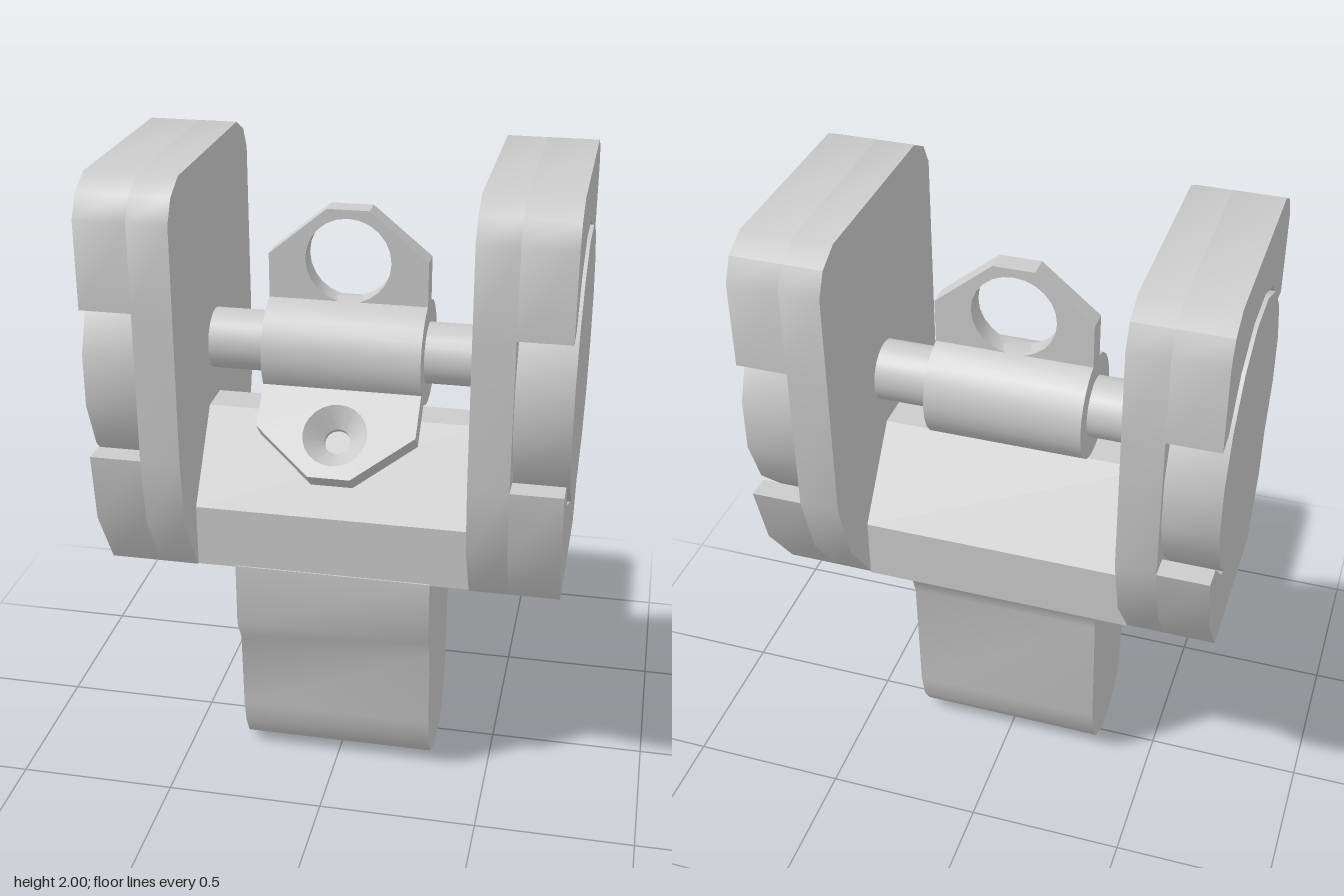
import * as THREE from 'three';
import { toCreasedNormals } from 'three/addons/utils/BufferGeometryUtils.js';

const grey = new THREE.MeshStandardMaterial({ color: 0xcccccc });
const greyDouble = new THREE.MeshStandardMaterial({ color: 0xcccccc, side: THREE.DoubleSide });
const AXIS_Y = 1.39; // height of the pivot

function mesh(name, geometry, material = grey) {
  const m = new THREE.Mesh(toCreasedNormals(geometry, 0.6), material);
  m.name = name;
  return m;
}

// Side profile of [z, y] points, extruded along x from x0 to x1
function prism(name, points, x0, x1) {
  const shape = new THREE.Shape(points.map(p => new THREE.Vector2(...p)));
  const g = new THREE.ExtrudeGeometry(shape, { depth: x1 - x0, bevelEnabled: false });
  g.rotateY(-Math.PI / 2).translate(x1, 0, 0);
  return mesh(name, g);
}

// Points of a 16-sided circle around the pivot, from corner a to corner b
function arc(r, a, b) {
  const pts = [], step = Math.sign(b - a);
  for (let i = a; i !== b + step; i += step) {
    const t = (i + 0.5) * Math.PI / 8;
    pts.push([r * Math.cos(t), AXIS_Y + r * Math.sin(t)]);
  }
  return pts;
}

// Eared sight leaf standing on the pivot, with one round hole
function leaf(name, holeY, holeR) {
  const s = new THREE.Shape([[-0.247, 0], [0.247, 0], [0.247, 0.3], [0.065, 0.45], [-0.065, 0.45], [-0.247, 0.3]]
    .map(p => new THREE.Vector2(...p)));
  s.holes.push(new THREE.Path().absarc(0, holeY, holeR, 0, Math.PI * 2, true));
  const g = new THREE.ExtrudeGeometry(s, { depth: 0.07, bevelEnabled: false, curveSegments: 12 });
  return mesh(name, g.translate(0, 0, -0.035));
}

export function createModel() {
  const model = new THREE.Group();
  model.name = 'foldingSight';

  // Protective side wings: a full inner slab, with the outer layer cut by a round, slotted pocket
  const top = [[0.44, 1.62], [0.44, 1.89], [0.4, 1.96], [0.32, 2], [-0.32, 2], [-0.4, 1.96], [-0.437, 1.89], [-0.437, 1.62]];
  const bottom = [[-0.437, 1.15], [-0.37, 0.93], [-0.225, 0.735], [0.3, 0.735], [0.415, 0.93], [0.44, 1.15]];
  for (const side of [1, -1]) {
    const wing = new THREE.Group();
    wing.name = side > 0 ? 'leftWing' : 'rightWing';
    const part = (name, pts, a, b) =>
      wing.add(prism(name, pts, Math.min(side * a, side * b), Math.max(side * a, side * b)));
    part('wingSlab', [...top, ...bottom], 0.432, 0.555);
    part('wingUpperRim', [...top, ...arc(0.435, 6, 1)], 0.555, 0.713);
    part('wingLowerRim', [...bottom, ...arc(0.435, 14, 9)], 0.555, 0.713);
    part('knob', arc(0.422, 0, 15), 0.555, 0.723);
    model.add(wing);
  }

  // Bridge between the wings, sloped to front and back
  model.add(prism('bridge', [[0.295, 0.735], [0.295, 0.935], [0.1, 1.2], [-0.02, 1.2], [-0.23, 0.935], [-0.23, 0.735]], -0.432, 0.432));

  // Rounded mounting foot
  model.add(prism('mountingFoot', [
    [0.3, 0.74], [0.3, 0.53], [0.257, 0.45], [0.247, 0.19], [0.23, 0.11], [0.195, 0.045], [0.11, 0],
    [0, 0], [-0.07, 0.04], [-0.11, 0.1], [-0.135, 0.2], [-0.15, 0.62], [-0.17, 0.68], [-0.225, 0.74],
  ], -0.31, 0.31));

  // Pivot pin and the barrel around it
  const rod = (name, r, length) => {
    const g = new THREE.CylinderGeometry(r, r, length, 24).rotateZ(Math.PI / 2);
    model.add(mesh(name, g.translate(0, AXIS_Y, -0.004)));
  };
  rod('pivotPin', 0.096, 0.87);
  rod('pivotBarrel', 0.165, 0.494);

  // Upright leaf with the large aperture
  const upright = leaf('uprightLeaf', 0.29, 0.133);
  upright.position.set(0, AXIS_Y, -0.004);
  model.add(upright);

  // Folded leaf with a small countersunk aperture
  const folded = new THREE.Group();
  folded.name = 'foldedLeaf';
  folded.add(leaf('foldedPlate', 0.31, 0.1));
  const cone = new THREE.LatheGeometry([[0.1, 0.035], [0.04, -0.02], [0.04, -0.035], [0.1, -0.035]]
    .map(p => new THREE.Vector2(...p)), 24);
  cone.rotateX(-Math.PI / 2).translate(0, 0.31, 0);
  folded.add(mesh('countersunkAperture', cone, greyDouble));
  folded.position.set(0, AXIS_Y, -0.004);
  folded.rotation.x = THREE.MathUtils.degToRad(135);
  model.add(folded);

  return model;
}
